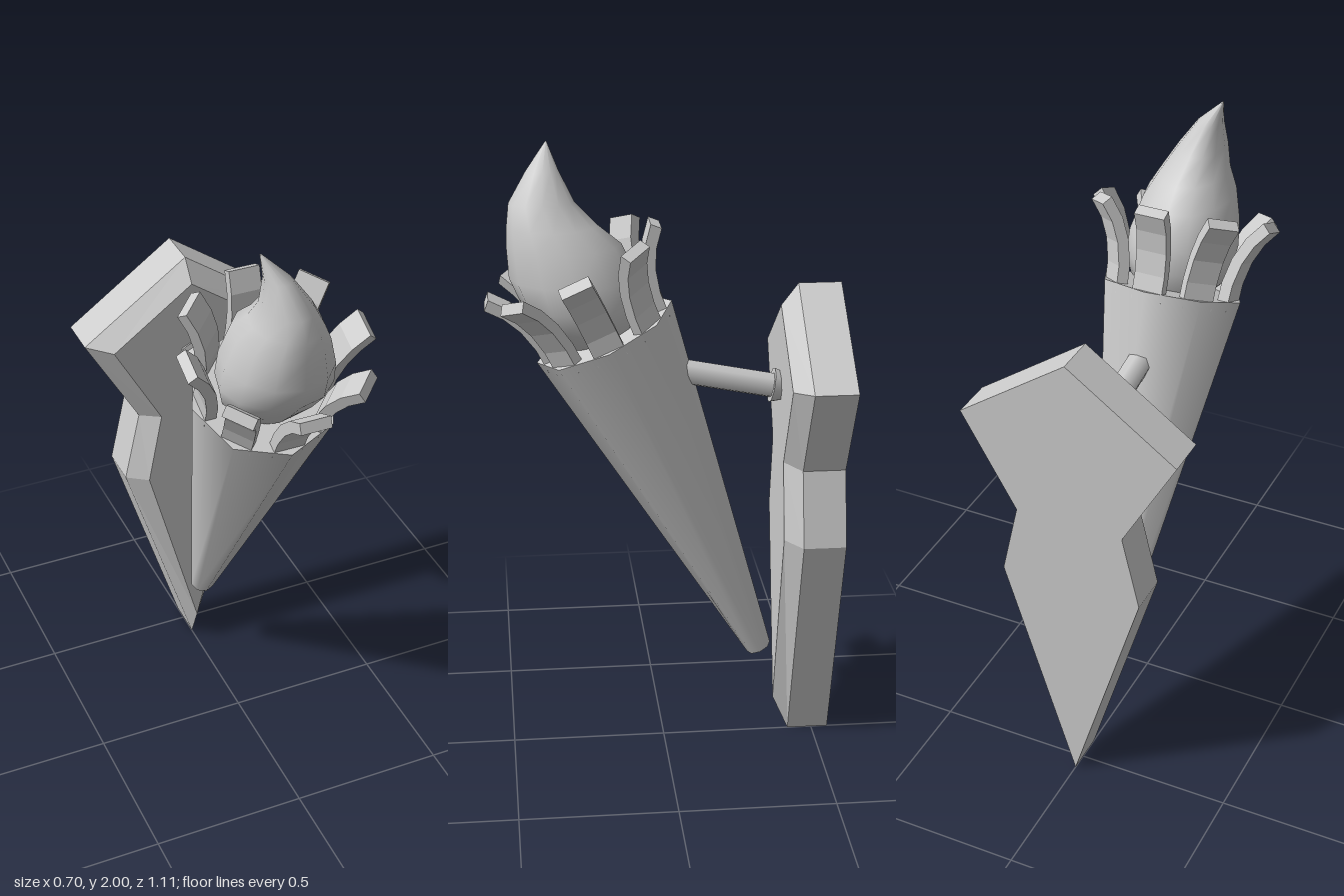
import * as THREE from 'three';

const material = new THREE.MeshStandardMaterial({ color: 0xcccccc });

function addMesh(parent, name, geometry) {
  const mesh = new THREE.Mesh(geometry, material);
  mesh.name = name;
  parent.add(mesh);
  return mesh;
}

// Skin a list of equal-length rings (counter-clockwise seen from the last ring).
// capFaces lists the triangles that close both ends.
function loft(rings, capFaces, flat) {
  const n = rings[0].length;
  const index = [];
  for (let i = 0; i < rings.length - 1; i++) {
    for (let j = 0; j < n; j++) {
      const k = (j + 1) % n;
      const a = i * n + j, b = i * n + k, c = a + n, d = b + n;
      index.push(a, b, d, a, d, c);
    }
  }
  const last = (rings.length - 1) * n;
  for (const [a, b, c] of capFaces) index.push(a, c, b, last + a, last + b, last + c);
  let geometry = new THREE.BufferGeometry();
  geometry.setAttribute('position', new THREE.Float32BufferAttribute(rings.flat(2), 3));
  geometry.setIndex(index);
  if (flat) geometry = geometry.toNonIndexed();
  geometry.computeVertexNormals();
  return geometry;
}

// Shield-like wall plate with a bevelled front edge
function plateGeometry() {
  const mirrored = (half) => [
    ...half,
    ...half.slice(1, -1).reverse().map(([x, y]) => [-x, y]),
  ];
  const outer = mirrored([[0, 0], [0.23, 0.76], [0.175, 1], [0.35, 1.31], [0, 1.56]]);
  const inner = mirrored([[0, 0.12], [0.165, 0.765], [0.115, 1.01], [0.27, 1.295], [0, 1.49]]);
  const at = (ring, z) => ring.map(([x, y]) => [x, y, z]);
  const caps = THREE.ShapeUtils.triangulateShape(
    outer.map(([x, y]) => new THREE.Vector2(x, y)), []);
  return loft([at(outer, -0.555), at(outer, -0.42), at(inner, -0.367)], caps, true);
}

// Strip that curls outward; its path runs in the local z (outward), y (up) plane
function prongGeometry() {
  const path = new THREE.QuadraticBezierCurve(
    new THREE.Vector2(0.188, -0.03), new THREE.Vector2(0.185, 0.15), new THREE.Vector2(0.285, 0.247));
  const steps = 4, w = 0.049, h = 0.018;
  const rings = [];
  for (let i = 0; i <= steps; i++) {
    const p = path.getPoint(i / steps), t = path.getTangent(i / steps);
    const oz = t.y * h, oy = -t.x * h;
    rings.push([
      [w, p.y + oy, p.x + oz], [w, p.y - oy, p.x - oz],
      [-w, p.y - oy, p.x - oz], [-w, p.y + oy, p.x + oz],
    ]);
  }
  return loft(rings, [[0, 1, 2], [0, 2, 3]], true);
}

// Leaning flame: each section is [y, centre x, centre z, radius x, radius z]
function flameGeometry() {
  const sections = [
    [1.38, 0, 0.22, 0.08, 0.08],
    [1.45, 0, 0.235, 0.155, 0.14],
    [1.52, 0, 0.26, 0.175, 0.18],
    [1.6, 0, 0.277, 0.165, 0.197],
    [1.7, -0.003, 0.305, 0.138, 0.175],
    [1.76, -0.002, 0.34, 0.105, 0.138],
    [1.83, -0.014, 0.37, 0.076, 0.1],
    [1.92, -0.042, 0.365, 0.04, 0.05],
    [2.0, -0.088, 0.35, 0.002, 0.002],
  ];
  const sides = 12;
  const rings = sections.map(([y, cx, cz, rx, rz]) =>
    Array.from({ length: sides }, (_, j) => {
      const a = (j / sides) * Math.PI * 2;
      return [cx + rx * Math.cos(a), y, cz - rz * Math.sin(a)];
    }));
  return loft(rings, [], false);
}

// Cylinder whose ends lie at two points; r0 at the first, r1 at the second
function rod(parent, name, from, to, r0, r1) {
  const a = new THREE.Vector3(...from), b = new THREE.Vector3(...to);
  const dir = b.clone().sub(a);
  const mesh = addMesh(parent, name, new THREE.CylinderGeometry(r1, r0, dir.length(), 8));
  mesh.position.copy(a).add(b).multiplyScalar(0.5);
  mesh.quaternion.setFromUnitVectors(new THREE.Vector3(0, 1, 0), dir.normalize());
}

export function createModel() {
  const model = new THREE.Group();
  model.name = 'wallTorch';

  addMesh(model, 'wallPlate', plateGeometry());

  // Torch body tilts forward; the group's origin is the centre of the rim
  const torch = new THREE.Group();
  torch.name = 'torch';
  torch.position.set(0, 1.42, 0.185);
  torch.rotation.x = THREE.MathUtils.degToRad(24.3);
  model.add(torch);

  const length = 1.217;
  const handle = addMesh(torch, 'handle', new THREE.CylinderGeometry(0.23, 0.041, length, 8));
  handle.position.y = -length / 2;

  // Ring of prongs around the rim
  const prong = prongGeometry();
  for (let i = 0; i < 8; i++) {
    addMesh(torch, 'prong', prong).rotation.y = (i * Math.PI) / 4;
  }

  addMesh(model, 'flame', flameGeometry());

  // Bracket joining the handle to the plate
  rod(model, 'bracketRod', [0, 1.285, -0.05], [0, 1.22, -0.38], 0.04, 0.04);
  rod(model, 'bracketCollar', [0, 1.228, -0.342], [0, 1.221, -0.378], 0.057, 0.045);

  return model;
}
